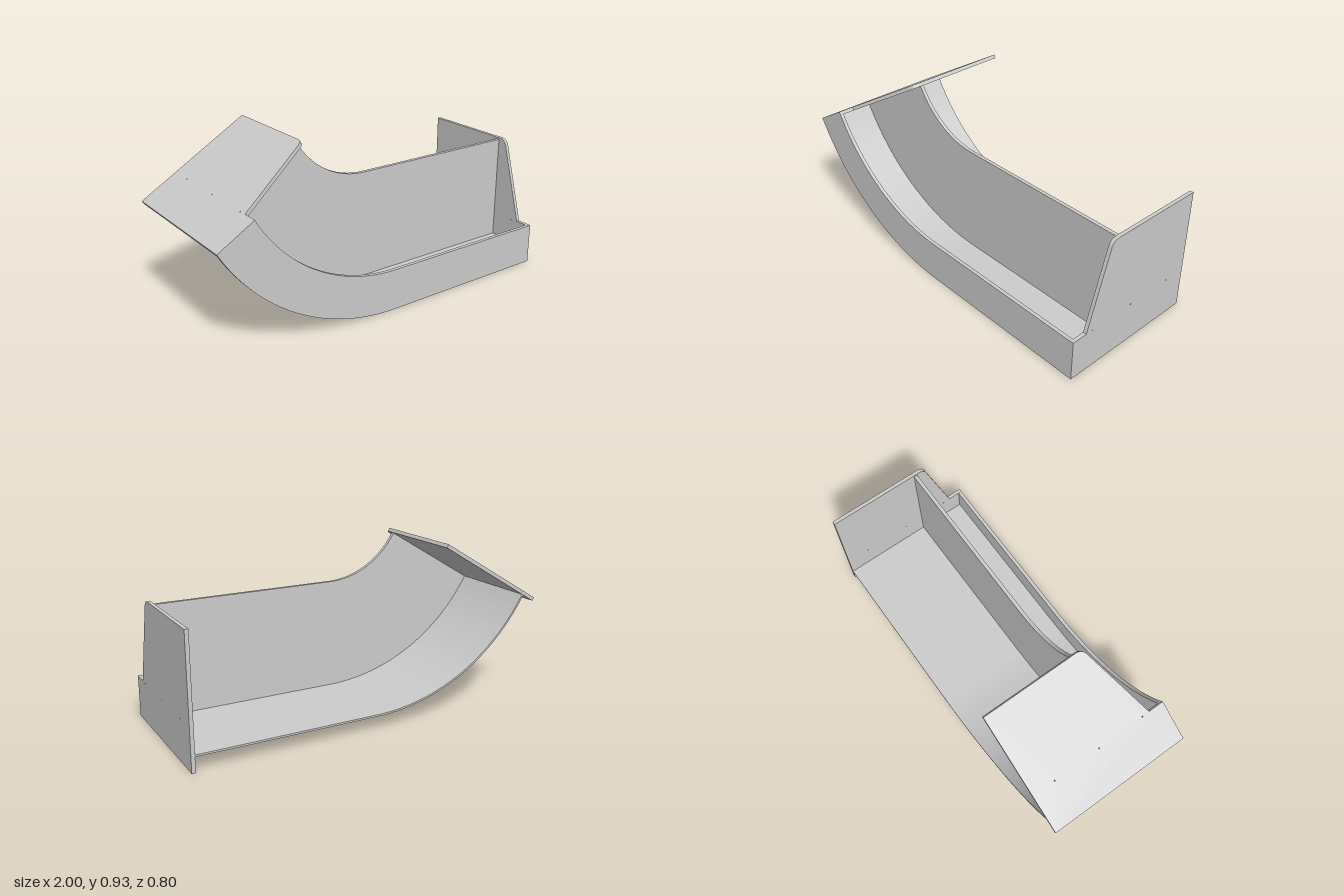
import * as THREE from 'three';
import { toCreasedNormals } from 'three/addons/utils/BufferGeometryUtils.js';

const R = 1.151;                            // bend radius at the underside
const BEND = THREE.MathUtils.degToRad(59.3); // bend angle
const T = 0.02;                             // plate thickness
const START = -Math.PI / 2;

const material = new THREE.MeshStandardMaterial({ color: 0xcccccc });

// Straight run plus bend, between heights y0 and y1, spanning z0 to z1
function channelPart(name, y0, y1, z0, z1) {
  const s = new THREE.Shape();
  s.moveTo(1 - T, y0);
  s.lineTo(0, y0);
  s.absarc(0, R, R - y0, START, START - BEND, true);
  s.absarc(0, R, R - y1, START - BEND, START, false);
  s.lineTo(1 - T, y1);
  s.closePath();
  const g = new THREE.ExtrudeGeometry(s, { depth: z1 - z0, bevelEnabled: false, curveSegments: 16 });
  g.translate(0, 0, z0);
  const mesh = new THREE.Mesh(g, material);
  mesh.name = name;
  return mesh;
}

// End plate with a low front lip, sloped edge, rounded top corner and pin holes
function endPlate(name) {
  const s = new THREE.Shape();
  s.moveTo(-0.4, 0);
  s.lineTo(0.4, 0);
  s.lineTo(0.4, 0.69);
  s.lineTo(-0.14, 0.69);
  s.quadraticCurveTo(-0.174, 0.69, -0.185, 0.657);
  s.lineTo(-0.313, 0.227);
  s.lineTo(-0.4, 0.227);
  s.closePath();
  for (const u of [-0.27, 0, 0.27]) {
    s.holes.push(new THREE.Path().absarc(u, 0.225, 0.003, 0, Math.PI * 2, true));
  }
  const g = new THREE.ExtrudeGeometry(s, { depth: T, bevelEnabled: false, curveSegments: 10 });
  g.rotateY(Math.PI / 2);
  const mesh = new THREE.Mesh(toCreasedNormals(g, 0.5), material);
  mesh.name = name;
  return mesh;
}

export function createModel() {
  const group = new THREE.Group();
  group.name = 'curvedChannel';

  // Floor, front skirt and tall middle wall follow the same bend
  group.add(channelPart('floor', 0.08, 0.09, -0.4, 0.38));
  group.add(channelPart('frontWall', 0, 0.226, 0.38, 0.4));
  group.add(channelPart('middleWall', 0.085, 0.68, 0.11, 0.13));

  // Upright plate at the straight end
  const straightEnd = endPlate('straightEndPlate');
  straightEnd.position.x = 1 - T;
  group.add(straightEnd);

  // Tilted plate at the bent end, turned about the bend centre
  const pivot = new THREE.Group();
  pivot.name = 'bentEnd';
  pivot.position.y = R;
  pivot.rotation.z = -BEND;
  const bentEnd = endPlate('bentEndPlate');
  bentEnd.position.set(-T, -R, 0);
  pivot.add(bentEnd);
  group.add(pivot);

  return group;
}
